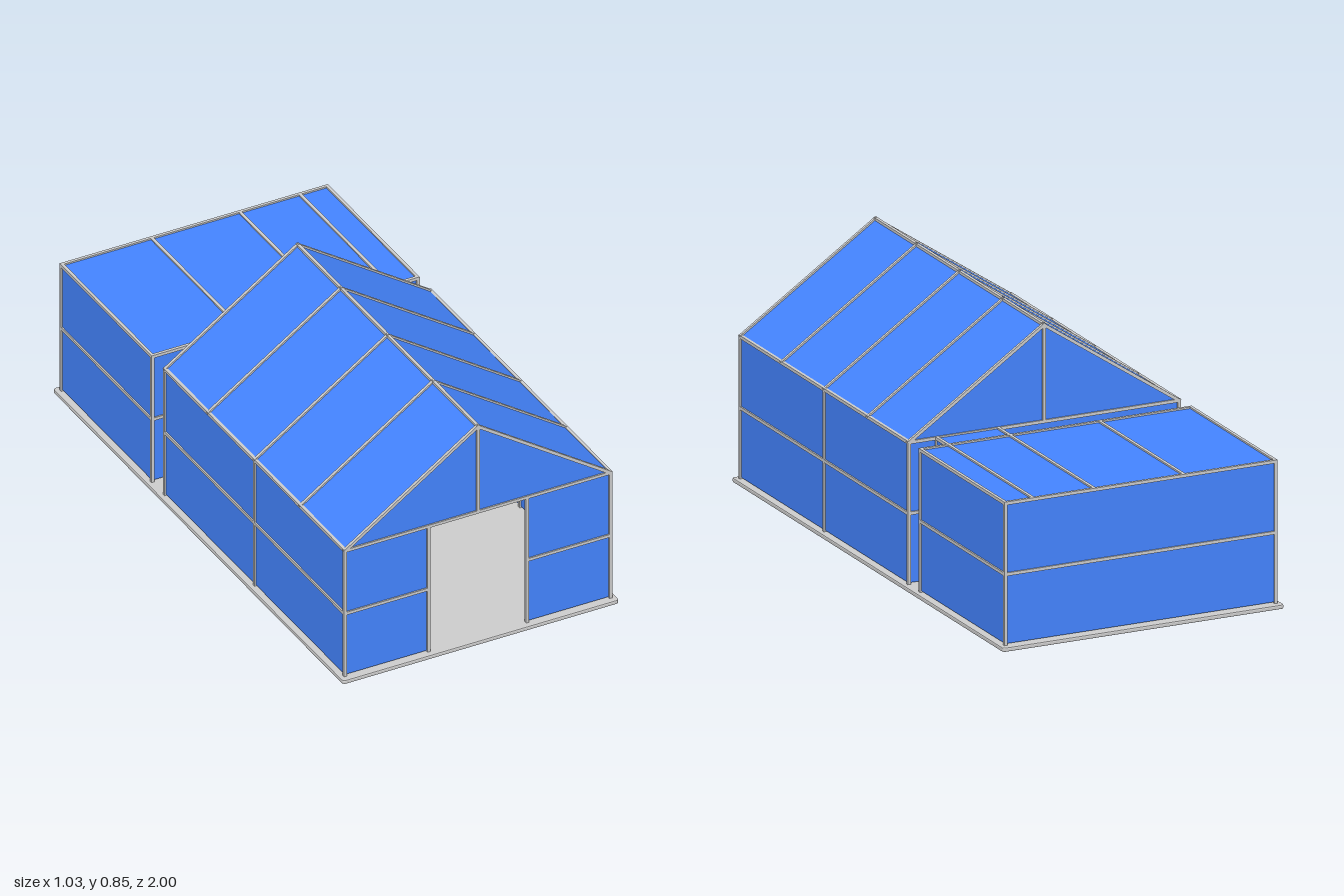
import * as THREE from 'three';

const T = 0.011;                       // frame tube thickness
const X = 0.494, FLOOR = 0.015, HEM = 0.02, MID = 0.26, EAVE = 0.505, RIDGE = 0.838;
const FRONT = 0.974, BACK = -0.262;    // main hall ends
const A_FRONT = -0.352, A_BACK = -0.974; // annex ends
const DOOR = 0.184, C0 = 0.168, C1 = 0.392; // front door half width, passage sides

export function createModel() {
  const model = new THREE.Group();
  const grey = new THREE.MeshStandardMaterial({ color: 0xcccccc });
  const blue = new THREE.MeshStandardMaterial({ color: 0x4484ff, side: THREE.DoubleSide });

  const section = (name) => {
    const g = new THREE.Group();
    g.name = name;
    model.add(g);
    return g;
  };

  // Square tube between two points
  const tube = (g, name, a, b) => {
    const p = new THREE.Vector3(...a), q = new THREE.Vector3(...b);
    const m = new THREE.Mesh(new THREE.BoxGeometry(T, T, p.distanceTo(q) + T * 0.9), grey);
    m.position.copy(p).lerp(q, 0.5);
    m.lookAt(q);
    m.name = name;
    g.add(m);
  };
  const post = (g, x, z, top = EAVE) => tube(g, 'post', [x, FLOOR + T / 2, z], [x, top, z]);

  // Flat cloth panel from a convex loop of corners
  const cloth = (g, name, ...pts) => {
    const v = [];
    for (let i = 1; i < pts.length - 1; i++) v.push(...pts[0], ...pts[i], ...pts[i + 1]);
    const geo = new THREE.BufferGeometry();
    geo.setAttribute('position', new THREE.Float32BufferAttribute(v, 3));
    geo.computeVertexNormals();
    const m = new THREE.Mesh(geo, blue);
    m.name = name;
    g.add(m);
  };

  // Upright wall with its middle rail and top rail
  const wall = (g, name, [x0, z0], [x1, z1]) => {
    cloth(g, name, [x0, HEM, z0], [x1, HEM, z1], [x1, EAVE, z1], [x0, EAVE, z0]);
    for (const y of [MID, EAVE]) tube(g, 'rail', [x0, y, z0], [x1, y, z1]);
  };

  // Ground slab with a softened rim
  const w = 0.51, d = 0.995, r = 0.008;
  const outline = new THREE.Shape();
  outline.moveTo(-w + r, -d);
  outline.lineTo(w - r, -d).quadraticCurveTo(w, -d, w, -d + r);
  outline.lineTo(w, d - r).quadraticCurveTo(w, d, w - r, d);
  outline.lineTo(-w + r, d).quadraticCurveTo(-w, d, -w, d - r);
  outline.lineTo(-w, -d + r).quadraticCurveTo(-w, -d, -w + r, -d);
  const slabGeo = new THREE.ExtrudeGeometry(outline, {
    depth: 0.007, bevelThickness: 0.004, bevelSize: 0.005, bevelSegments: 2, curveSegments: 4,
  });
  slabGeo.rotateX(-Math.PI / 2).translate(0, 0.004, 0);
  const slab = new THREE.Mesh(slabGeo, grey);
  slab.name = 'groundSlab';
  model.add(slab);

  // Main hall: side walls and pitched roof
  const hall = section('mainHall');
  for (const s of [1, -1]) {
    wall(hall, 'sideWall', [s * X, FRONT], [s * X, BACK]);
    for (const z of [FRONT, 0.356, BACK]) post(hall, s * X, z);
    const slope = [[s * X, EAVE, FRONT], [s * X, EAVE, BACK], [0, RIDGE, BACK], [0, RIDGE, FRONT]];
    cloth(hall, 'roofSlope', ...(s > 0 ? slope : slope.reverse()));
    for (const z of [FRONT, 0.67, 0.356, 0.035, BACK])
      tube(hall, 'rafter', [s * X, EAVE, z], [0, RIDGE, z]);
  }
  tube(hall, 'ridge', [0, RIDGE, FRONT], [0, RIDGE, BACK]);

  // Gables with tie beam and king post
  for (const z of [FRONT, BACK]) {
    const s = z === FRONT ? 1 : -1;
    cloth(hall, 'gable', [-s * X, EAVE, z], [s * X, EAVE, z], [0, RIDGE, z]);
    tube(hall, 'tieBeam', [-X, EAVE, z], [X, EAVE, z]);
    tube(hall, 'kingPost', [0, EAVE, z], [0, RIDGE, z]);
  }

  // Front wall, open in the middle
  for (const s of [1, -1]) {
    wall(hall, 'frontWall', s > 0 ? [DOOR, FRONT] : [-X, FRONT], s > 0 ? [X, FRONT] : [-DOOR, FRONT]);
    post(hall, s * DOOR, FRONT);
  }

  // Walls facing each other across the gap, open at the passage
  const annex = section('annex');
  for (const [g, z] of [[hall, BACK], [annex, A_FRONT]]) {
    wall(g, 'gapWall', [-X, z], [C0, z]);
    wall(g, 'gapWall', [C1, z], [X, z]);
    tube(g, 'lintel', [C0, EAVE, z], [C1, EAVE, z]);
    for (const x of [C0, C1]) post(g, x, z);
  }

  // Passage joining hall and annex
  const passage = section('passage');
  wall(passage, 'passageWall', [C0, A_FRONT], [C0, BACK]);
  wall(passage, 'passageWall', [C1, BACK], [C1, A_FRONT]);
  cloth(passage, 'passageRoof', [C0, EAVE, BACK], [C1, EAVE, BACK], [C1, EAVE, A_FRONT], [C0, EAVE, A_FRONT]);

  // Flat-roofed annex
  for (const s of [1, -1]) {
    wall(annex, 'sideWall', s > 0 ? [X, A_FRONT] : [-X, A_BACK], s > 0 ? [X, A_BACK] : [-X, A_FRONT]);
    for (const z of [A_FRONT, A_BACK]) post(annex, s * X, z);
  }
  wall(annex, 'backWall', [X, A_BACK], [-X, A_BACK]);
  cloth(annex, 'flatRoof', [-X, EAVE, A_FRONT], [X, EAVE, A_FRONT], [X, EAVE, A_BACK], [-X, EAVE, A_BACK]);
  for (const x of [-0.16, C0, C1]) tube(annex, 'roofBar', [x, EAVE, A_FRONT], [x, EAVE, A_BACK]);

  return model;
}
